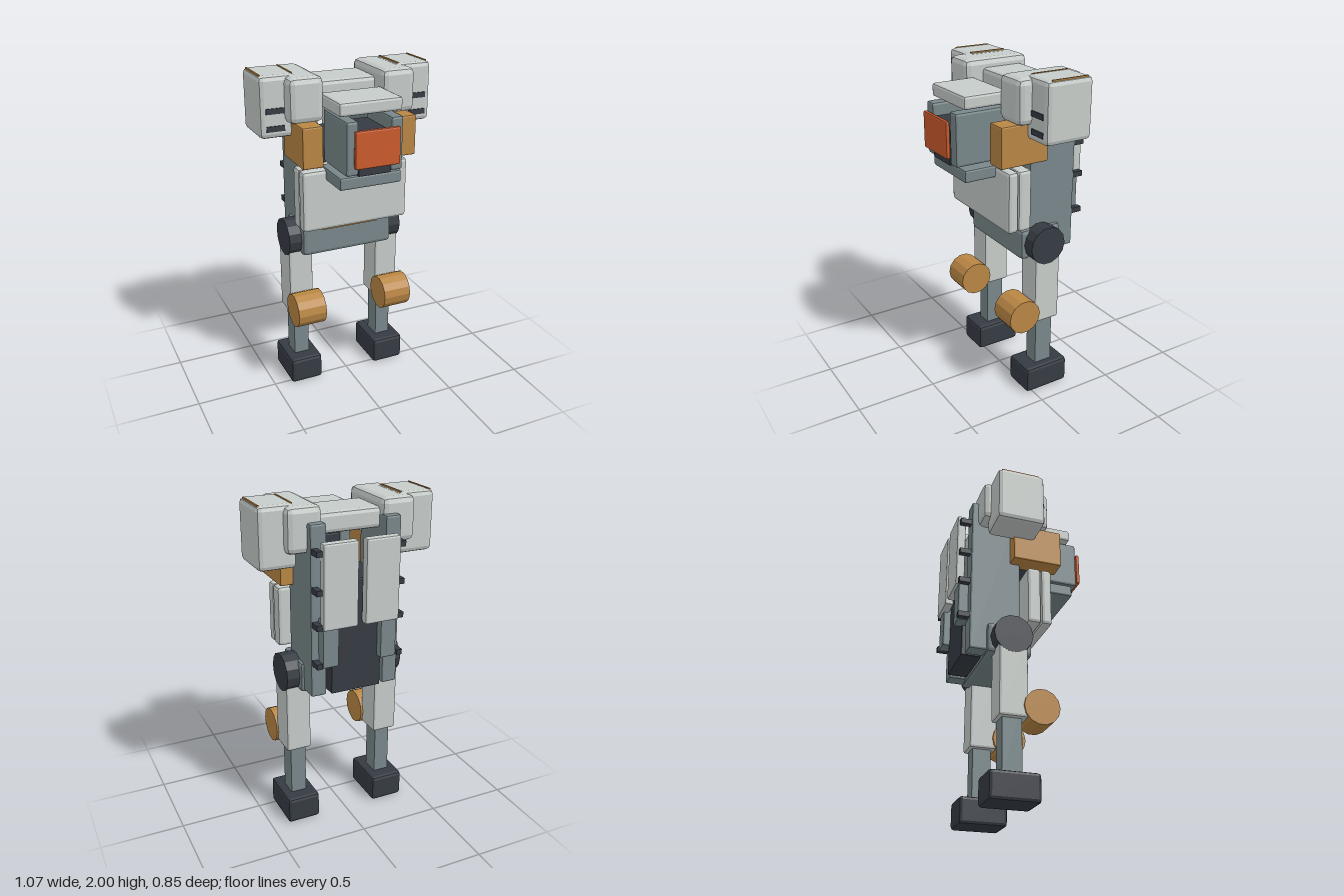
import * as THREE from 'three';
import { RoundedBoxGeometry } from 'three/addons/geometries/RoundedBoxGeometry.js';

const paint = (name, color) => Object.assign(new THREE.MeshStandardMaterial({ color }), { name });

export function createModel() {
  const light = paint('light armour', 0xc6ccc9);
  const slate = paint('slate frame', 0x78878a);
  const dark = paint('dark metal', 0x363b43);
  const amber = paint('amber joint', 0xb98644);
  const red = paint('red visor', 0xcb5a2c);

  const model = new THREE.Group();
  model.name = 'walker';

  const add = (name, geometry, material, parent = model) => {
    const mesh = new THREE.Mesh(geometry, material);
    mesh.name = name;
    parent.add(mesh);
    return mesh;
  };

  // Box given by its limits on each axis, with a faceted bevel
  const box = (name, material, [x0, x1], [y0, y1], [z0, z1], bevel = 0.012, parent = model) => {
    const w = x1 - x0, h = y1 - y0, d = z1 - z0;
    const geometry = bevel
      ? new RoundedBoxGeometry(w, h, d, 1, Math.min(bevel, w / 2.1, h / 2.1, d / 2.1))
      : new THREE.BoxGeometry(w, h, d);
    geometry.computeVertexNormals();
    geometry.translate((x0 + x1) / 2, (y0 + y1) / 2, (z0 + z1) / 2);
    return add(name, geometry, material, parent);
  };

  // Faceted drum lying along x
  const drum = (name, material, radius, [x0, x1], y, z, parent) => {
    const geometry = new THREE.CylinderGeometry(radius, radius, x1 - x0, 14).toNonIndexed();
    geometry.computeVertexNormals();
    geometry.rotateZ(Math.PI / 2).translate((x0 + x1) / 2, y, z);
    return add(name, geometry, material, parent);
  };

  // Torso
  box('pelvis', slate, [-0.295, 0.295], [0.88, 1.07], [-0.245, 0.03], 0.025);
  box('torsoCore', dark, [-0.157, 0.157], [0.9, 1.58], [-0.363, -0.005], 0.008);
  box('chestPlateFront', light, [-0.335, 0.335], [1.09, 1.46], [0.077, 0.145], 0.02);
  box('chestPlateBack', light, [-0.335, 0.335], [1.09, 1.46], [-0.01, 0.077], 0.02);
  box('belt', amber, [-0.18, 0.18], [1.055, 1.12], [0.035, 0.066], 0);
  box('shoulderBeam', light, [-0.2, 0.2], [1.815, 1.935], [-0.27, 0.005], 0.025);

  // Head
  box('hood', light, [-0.19, 0.19], [1.81, 1.887], [0.06, 0.337], 0.015);
  box('headCore', dark, [-0.1, 0.1], [1.48, 1.72], [0.07, 0.385], 0.008);
  box('headTray', slate, [-0.19, 0.19], [1.395, 1.47], [0.06, 0.34], 0.012);
  box('visor', red, [-0.137, 0.137], [1.535, 1.75], [0.398, 0.424], 0.01);
  box('visorMount', dark, [-0.06, 0.06], [1.58, 1.7], [0.37, 0.4], 0);

  for (const side of [1, -1]) {
    const half = new THREE.Group();
    half.name = side > 0 ? 'leftSide' : 'rightSide';
    model.add(half);
    // Limits are written for +x and mirrored for the other side
    const flip = ([a, b]) => (side > 0 ? [a, b] : [-b, -a]);
    const part = (name, material, x, y, z, bevel) => box(name, material, flip(x), y, z, bevel, half);

    // Leg
    part('foot', dark, [0.186, 0.395], [0, 0.165], [-0.256, 0.04], 0.02);
    part('shin', slate, [0.24, 0.341], [0.15, 0.55], [-0.17, -0.05], 0.008);
    part('thigh', light, [0.214, 0.37], [0.475, 0.96], [-0.195, -0.022], 0.015);
    drum('knee', amber, 0.106, flip([0.2, 0.38]), 0.545, 0.054, half);
    drum('hipJoint', dark, 0.117, flip([0.26, 0.371]), 0.975, -0.108, half);

    // Side wall and back fittings
    part('sideWall', slate, [0.178, 0.275], [0.895, 1.9], [-0.347, -0.037], 0.012);
    part('backBlock', slate, [0.13, 0.23], [1.09, 1.38], [-0.408, -0.34], 0.01);
    part('backPanel', light, [0.022, 0.233], [1.32, 1.81], [-0.427, -0.372], 0.012);
    for (const y of [1.11, 1.34, 1.54, 1.755])
      part('backPeg', dark, [0.234, 0.268], [y - 0.016, y + 0.016], [-0.414, -0.34], 0);

    // Head cheek
    part('headCheek', slate, [0.097, 0.172], [1.487, 1.795], [0.065, 0.383], 0.015);

    // Shoulder and arm
    part('upperArm', amber, [0.227, 0.352], [1.497, 1.737], [-0.102, 0.205], 0.01);
    part('innerShoulder', light, [0.18, 0.388], [1.73, 1.988], [-0.307, 0.117], 0.035);
    part('outerShoulder', light, [0.31, 0.533], [1.645, 1.997], [-0.26, 0.037], 0.028);
    for (const y of [1.703, 1.803])
      part('shoulderVent', dark, [0.39, 0.498], [y - 0.016, y + 0.016], [0.036, 0.043], 0);
    for (const x of [0.33, 0.515])
      part('shoulderStripe', amber, [x - 0.005, x + 0.005], [1.991, 2], [-0.232, 0], 0);
  }
  return model;
}
